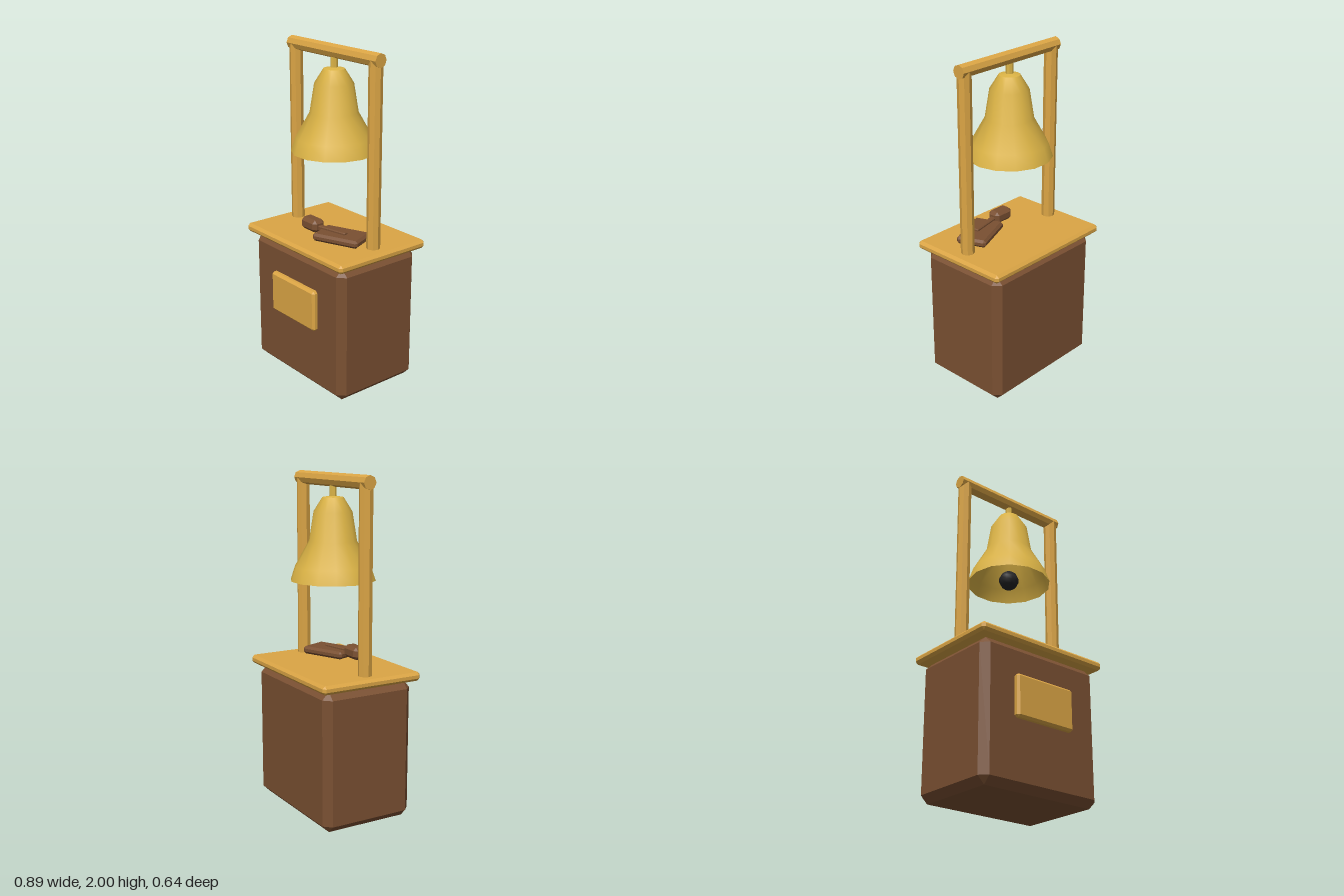
import * as THREE from 'three';
import { ConvexGeometry } from 'three/addons/geometries/ConvexGeometry.js';

const mat = (name, color, extra = {}) => new THREE.MeshStandardMaterial({ name, color, ...extra });

// Box with a single 45 degree chamfer on every edge
function chamferBox(w, h, d, c) {
  const points = [];
  for (const x of [-1, 1]) for (const y of [-1, 1]) for (const z of [-1, 1]) {
    for (let axis = 0; axis < 3; axis++) {
      const inset = [c, c, c];
      inset[axis] = 0;
      points.push(new THREE.Vector3(
        x * (w / 2 - inset[0]), y * (h / 2 - inset[1]), z * (d / 2 - inset[2])));
    }
  }
  return new ConvexGeometry(points);
}

// Eight-sided faceted pole
const pole = (radius, length) =>
  new THREE.CylinderGeometry(radius, radius, length, 8).toNonIndexed();

export function createModel() {
  const model = new THREE.Group();
  model.name = 'bellStand';
  const darkWood = mat('dark wood', 0x7a5032);
  const lightWood = mat('light wood', 0xdba545);
  const brass = mat('brass', 0xdcb446, { side: THREE.DoubleSide });
  const iron = mat('black iron', 0x242426);

  const add = (name, geometry, material, x, y, z) => {
    const mesh = new THREE.Mesh(geometry, material);
    mesh.name = name;
    mesh.position.set(x, y, z);
    model.add(mesh);
    return mesh;
  };
  const facet = (geometry) => { geometry.computeVertexNormals(); return geometry; };

  // Pedestal with overhanging top and blank front plaque
  add('pedestal', chamferBox(0.828, 0.826, 0.58, 0.043), darkWood, 0, 0.417, 0);
  add('tabletop', chamferBox(0.894, 0.052, 0.644, 0.016), lightWood, 0, 0.859, 0);
  add('plaque', chamferBox(0.405, 0.25, 0.045, 0.013), lightWood, 0, 0.52, 0.2985);

  // Frame
  for (const side of [-1, 1]) {
    add(side > 0 ? 'leftPost' : 'rightPost', facet(pole(0.04, 1.08)), lightWood, side * 0.35, 1.42, 0);
  }
  add('crossbeam', facet(pole(0.04, 0.78)), lightWood, 0, 1.96, 0).rotation.z = Math.PI / 2;

  // Bell, hanger and clapper
  const profile = [
    [0.25, 1.383], [0.223, 1.465], [0.14, 1.613], [0.113, 1.78], [0.062, 1.861],
  ].map(([r, y]) => new THREE.Vector2(r, y));
  add('bell', new THREE.LatheGeometry(profile, 14, Math.PI / 2), brass, 0, 0, 0);
  const crown = [new THREE.Vector2(0.062, 1.861), new THREE.Vector2(0, 1.872)];
  add('bellCrown', new THREE.LatheGeometry(crown, 14, Math.PI / 2), brass, 0, 0, 0);
  add('bellHanger', facet(pole(0.021, 0.1)), brass, 0, 1.91, 0);
  add('clapper', new THREE.SphereGeometry(0.06, 10, 7), iron, 0, 1.41, 0);

  // Mallet pieces lying on the tabletop
  add('malletBlock', chamferBox(0.292, 0.046, 0.184, 0.014), darkWood, 0.166, 0.919, 0.081).rotation.y = 0.38;
  add('malletHandle', chamferBox(0.25, 0.03, 0.034, 0.005), darkWood, 0.083, 0.94, 0.105).rotation.y = 0.2;
  add('malletHead', chamferBox(0.136, 0.076, 0.084, 0.02), darkWood, -0.048, 0.948, 0.123);

  return model;
}
